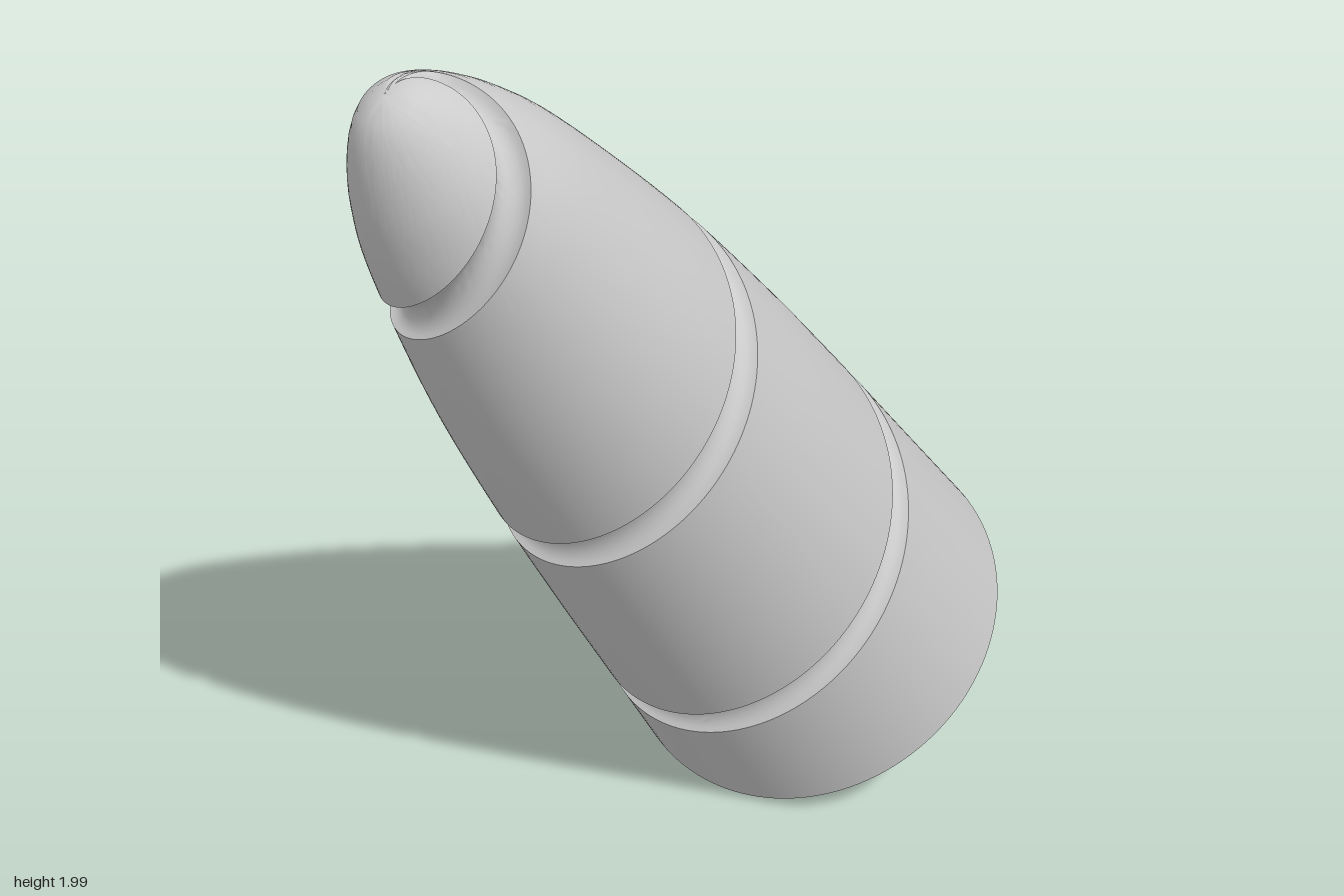
import * as THREE from 'three';
import { toCreasedNormals } from 'three/addons/utils/BufferGeometryUtils.js';

const TILT = THREE.MathUtils.degToRad(36.2);
const PITCH = 0.70;         // rise of the groove per turn
const START = 0.327;        // groove height on the front side
const HALF = 0.042;         // groove half width
const DEPTH = 0.036;
const COLUMNS = 144, GROOVE_STEPS = 10, LAND_STEPS = 16;
const TURNS = [-2, -1, 0, 1, 2];

// Side profile of the horn: radius, height
const profile = new THREE.SplineCurve([
  [0.467, 0], [0.432, 0.35], [0.397, 0.7], [0.357, 1.05], [0.305, 1.4], [0.229, 1.75],
  [0.18, 1.9], [0.13, 2.0], [0.083, 2.065], [0.045, 2.095], [0, 2.106],
].map(([r, y]) => new THREE.Vector2(r, y)));
profile.arcLengthDivisions = 600;
const LENGTH = profile.getLength();
const samples = profile.getSpacedPoints(600);

// Distance along the profile at a given height
function arcAt(y) {
  const top = samples[600].y;
  if (y <= 0) return y;
  if (y >= top) return LENGTH + y - top;
  const i = samples.findIndex((p) => p.y > y);
  const a = samples[i - 1], b = samples[i];
  return ((i - 1 + (y - a.y) / (b.y - a.y)) / 600) * LENGTH;
}

const grooveHeight = (phi, k) => START + PITCH * (phi / (2 * Math.PI) + k);

// Distances along the profile for one column, following the helical groove
function columnRows(centres) {
  const clamp = (t) => THREE.MathUtils.clamp(t, 0, LENGTH);
  const rows = [0];
  for (let n = 0; n < TURNS.length; n++) {
    for (let i = 0; i <= GROOVE_STEPS; i++) {
      rows.push(clamp(centres[n] - HALF * Math.cos((Math.PI * i) / GROOVE_STEPS)));
    }
    const lo = clamp(centres[n] + HALF), hi = clamp(centres[n + 1] - HALF);
    for (let i = 1; i < LAND_STEPS; i++) rows.push(lo + ((hi - lo) * i) / LAND_STEPS);
  }
  rows.push(LENGTH);
  return rows;
}

function hornGeometry() {
  const columns = [];
  for (let c = 0; c <= COLUMNS; c++) {
    const phi = (c / COLUMNS) * 2 * Math.PI;
    const heights = [...TURNS, 3].map((k) => grooveHeight(phi, k));
    const centres = heights.map(arcAt);
    columns.push(columnRows(centres).map((t) => {
      const u = Math.min(t / LENGTH, 1);
      const p = profile.getPointAt(u), tan = profile.getTangentAt(u);
      // Round groove, fading out beside the tip
      let d = 0;
      centres.forEach((centre, n) => {
        const o = (t - centre) / HALF;
        const fade = THREE.MathUtils.clamp((2.08 - heights[n]) / 0.03, 0, 1);
        if (Math.abs(o) < 1) d = Math.max(d, DEPTH * fade * Math.sqrt(1 - o * o));
      });
      const r = u === 1 ? 0 : Math.max(p.x - d * tan.y, 0);
      const y = t === 0 ? 0 : Math.max(p.y + d * tan.x, 0);
      return new THREE.Vector3(r * Math.sin(phi), y, r * Math.cos(phi));
    }));
  }
  const positions = [];
  const ab = new THREE.Vector3(), ac = new THREE.Vector3();
  const triangle = (a, b, c) => {
    ab.subVectors(b, a).cross(ac.subVectors(c, a));
    if (ab.length() > 1e-9) for (const v of [a, b, c]) positions.push(v.x, v.y, v.z);
  };
  const centre = new THREE.Vector3();
  for (let c = 0; c < COLUMNS; c++) {
    const A = columns[c], B = columns[c + 1];
    for (let j = 0; j < A.length - 1; j++) {
      triangle(A[j], B[j], B[j + 1]);
      triangle(A[j], B[j + 1], A[j + 1]);
    }
    triangle(centre, B[0], A[0]); // flat base
  }
  const geometry = new THREE.BufferGeometry();
  geometry.setAttribute('position', new THREE.Float32BufferAttribute(positions, 3));
  return toCreasedNormals(geometry, 0.6);
}

export function createModel() {
  const group = new THREE.Group();
  const horn = new THREE.Mesh(hornGeometry(), new THREE.MeshStandardMaterial({ color: 0xcccccc }));
  horn.name = 'grooved horn';
  horn.rotation.x = TILT;
  horn.position.set(0, 0.276, -0.455);
  group.add(horn);
  return group;
}
